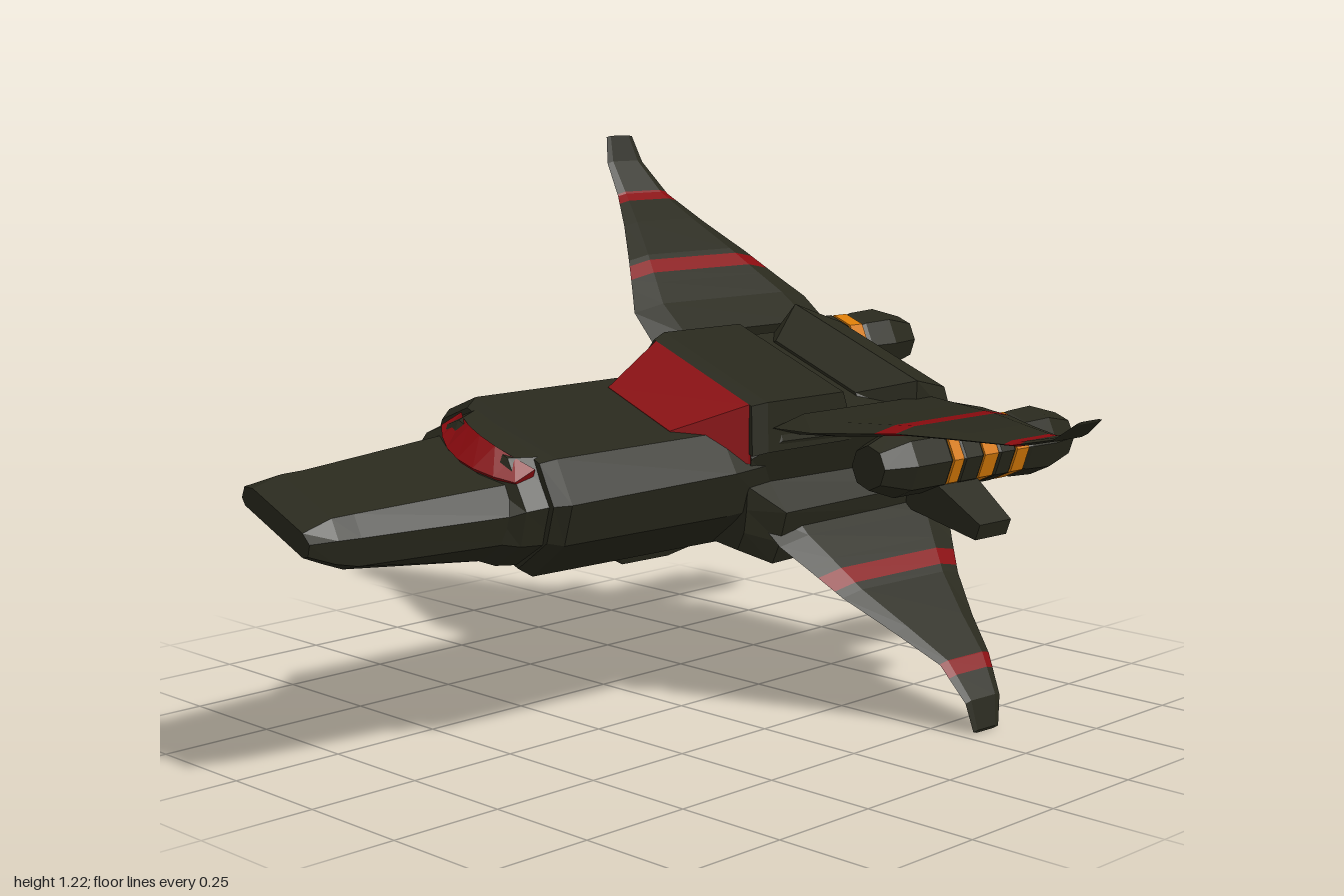
import * as THREE from 'three';

const mat = (name, color) => {
  const m = new THREE.MeshStandardMaterial({ color, flatShading: true });
  m.name = name;
  return m;
};

// Joins a list of equal-length rings of points into a closed, flat-sided solid
function loft(rings, flip = false) {
  const pos = [];
  const tri = (a, b, c) => pos.push(...a, ...(flip ? c : b), ...(flip ? b : c));
  const n = rings[0].length;
  for (let i = 0; i < rings.length - 1; i++) {
    for (let j = 0; j < n; j++) {
      const k = (j + 1) % n;
      const [a, b, c, d] = [rings[i][j], rings[i][k], rings[i + 1][k], rings[i + 1][j]];
      tri(a, b, c);
      tri(a, c, d);
    }
  }
  const first = rings[0], last = rings[rings.length - 1];
  for (let j = 1; j < n - 1; j++) {
    tri(first[0], first[j + 1], first[j]);
    tri(last[0], last[j], last[j + 1]);
  }
  const g = new THREE.BufferGeometry();
  g.setAttribute('position', new THREE.Float32BufferAttribute(pos, 3));
  g.computeVertexNormals();
  return g;
}

// Mirrored hull section: half outline [x, y] from top to bottom at depth z
const ring = (z, half) => [
  ...half.map(([x, y]) => [x, y, z]),
  ...half.slice().reverse().map(([x, y]) => [-x, y, z]),
];

// Wing stations: x, y, leading z, trailing z, thickness
const stations = [
  [0.20, 0.10, -0.08, -0.64, 0.05],
  [0.30, 0.137, -0.09, -0.63, 0.034],
  [0.36, 0.163, -0.125, -0.59, 0.03],
  [0.44, 0.198, -0.17, -0.54, 0.024],
  [0.55, 0.233, -0.235, -0.485, 0.018],
  [0.65, 0.264, -0.288, -0.445, 0.012],
  [0.73, 0.315, -0.305, -0.415, 0.009],
  [0.765, 0.368, -0.315, -0.395, 0.006],
];

// Wing station at any x, blended from its neighbours
function stationAt(x) {
  const i = stations.findIndex((s) => s[0] > x);
  const a = stations[i - 1], b = stations[i];
  return a.map((v, k) => THREE.MathUtils.lerp(v, b[k], (x - a[0]) / (b[0] - a[0])));
}

export function createModel() {
  const hullMat = mat('olive hull', 0x28281c);
  const redMat = mat('red markings', 0x870a0e);
  const orangeMat = mat('orange bands', 0xd87b08);

  const model = new THREE.Group();
  model.name = 'spacecraft';
  const ship = new THREE.Group();
  ship.name = 'bankedShip';
  model.add(ship);
  const add = (name, geo, material, parent = ship) => {
    const m = new THREE.Mesh(geo, material);
    m.name = name;
    parent.add(m);
    return m;
  };
  const hull = (name, sections, material = hullMat) =>
    add(name, loft(sections.map(([z, half]) => ring(z, half))), material);
  const box = (name, w, h, d, x, y, z) =>
    add(name, new THREE.BoxGeometry(w, h, d), hullMat).position.set(x, y, z);

  // Drooping wedge nose
  hull('nose', [
    [1.0, [[0.09, -0.045], [0.118, -0.055], [0.12, -0.08], [0.105, -0.09]]],
    [0.94, [[0.09, -0.022], [0.125, -0.052], [0.13, -0.10], [0.095, -0.12]]],
    [0.89, [[0.09, -0.02], [0.128, -0.052], [0.135, -0.11], [0.09, -0.142]]],
    [0.54, [[0.11, 0.005], [0.16, -0.04], [0.165, -0.10], [0.11, -0.17]]],
    [0.44, [[0.11, 0.01], [0.16, -0.04], [0.165, -0.10], [0.11, -0.17]]],
  ]);
  hull('neck', [
    [0.575, [[0.05, 0.0], [0.15, -0.05], [0.16, -0.10], [0.11, -0.165]]],
    [0.535, [[0.085, 0.05], [0.175, -0.025], [0.182, -0.10], [0.12, -0.178]]],
    [0.44, [[0.12, 0.06], [0.19, -0.01], [0.195, -0.10], [0.13, -0.185]]],
  ]);

  // Crescent visor wrapped over the neck
  const visor = [-1, -0.7, -0.35, 0, 0.35, 0.7, 1].map((t) => {
    const x = 0.128 * t, z = 0.59 - 0.05 * t * t;
    const low = 0.012 + 0.006 * t * t, high = 0.06 - 0.018 * t * t;
    return [[x, high, z - 0.045], [x, low, z], [x, low - 0.04, z - 0.045]];
  });
  add('noseVisor', loft(visor), redMat);

  // Forward fuselage and windscreen
  hull('forwardHull', [
    [0.485, [[0.125, 0.052], [0.195, -0.01], [0.20, -0.09], [0.135, -0.185]]],
    [0.455, [[0.14, 0.066], [0.215, 0.0], [0.22, -0.09], [0.15, -0.20]]],
    [0.01, [[0.14, 0.07], [0.215, 0.01], [0.22, -0.09], [0.15, -0.20]]],
    [-0.12, [[0.14, 0.07], [0.20, 0.01], [0.21, -0.09], [0.15, -0.20]]],
  ]);
  hull('windscreen', [
    [0.125, [[0.105, 0.07], [0.13, 0.0]]],
    [-0.035, [[0.158, 0.14], [0.2, 0.02]]],
    [-0.06, [[0.158, 0.14], [0.2, 0.02]]],
  ], redMat);

  // Rear fuselage, waisted beside the engines
  hull('rearHull', [
    [-0.04, [[0.16, 0.09], [0.20, 0.03], [0.21, -0.03], [0.225, -0.08], [0.235, -0.13], [0.23, -0.175], [0.12, -0.20]]],
    [-0.11, [[0.18, 0.115], [0.21, 0.07], [0.205, -0.03], [0.275, -0.07], [0.28, -0.14], [0.275, -0.195], [0.12, -0.22]]],
    [-0.60, [[0.19, 0.11], [0.215, 0.06], [0.21, -0.03], [0.26, -0.07], [0.27, -0.13], [0.25, -0.19], [0.12, -0.21]]],
    [-0.735, [[0.11, 0.05], [0.13, 0.02], [0.135, -0.03], [0.138, -0.07], [0.14, -0.10], [0.12, -0.13], [0.08, -0.15]]],
  ]);
  hull('dorsalPlate', [
    [-0.035, [[0.165, 0.14], [0.205, 0.04]]],
    [-0.07, [[0.175, 0.15], [0.215, 0.05]]],
    [-0.30, [[0.175, 0.15], [0.215, 0.05]]],
    [-0.34, [[0.15, 0.11], [0.21, 0.05]]],
  ]);
  hull('dorsalRamp', [
    [-0.39, [[0.135, 0.118], [0.17, 0.08]]],
    [-0.50, [[0.205, 0.17], [0.23, 0.09]]],
    [-0.64, [[0.175, 0.125], [0.23, 0.06]]],
    [-0.725, [[0.115, 0.07], [0.13, 0.02]]],
  ]);

  // Stepped belly with cross ribs
  hull('bellyKeel', [
    [0.22, [[0.12, -0.18], [0.11, -0.215]]],
    [0.18, [[0.12, -0.18], [0.12, -0.235]]],
    [0.05, [[0.12, -0.18], [0.12, -0.235]]],
    [-0.08, [[0.12, -0.18], [0.11, -0.215]]],
  ]);
  for (let i = 0; i < 4; i++) box('bellyRib', 0.21, 0.025, 0.03, 0, -0.205, 0.26 + i * 0.05);
  box('rearBellyPlate', 0.22, 0.03, 0.42, 0, -0.215, -0.34);

  // Four cranked wings: side, up or down, inner and outer stripe positions
  const wings = [
    ['upperLeftWing', 1, 1, 0.408, 0.635],
    ['upperRightWing', -1, 1, 0.388, 0.625],
    ['lowerLeftWing', 1, -1, 0.385, 0.648],
    ['lowerRightWing', -1, -1, 0.43, 0.63],
  ];
  for (const [wingName, sx, sy, inner, outer] of wings) {
    const wing = new THREE.Group();
    wing.name = wingName;
    ship.add(wing);
    const panel = (name, from, to, material) => {
      const cuts = [stationAt(from), ...stations.filter((s) => s[0] > from && s[0] < to),
        to < 0.765 ? stationAt(to) : stations[stations.length - 1]];
      const rings = cuts.map(([x, y, f, b, t]) => {
        const c = (f - b) * 0.15, h = t / 2;
        return [[y + h, b + c], [y + h, f - c], [y, f], [y - h, f - c], [y - h, b + c], [y, b]]
          .map(([v, z]) => [sx * x, sy * v, z]);
      });
      add(name, loft(rings, sx * sy < 0), material, wing);
    };
    panel('wingRoot', 0.20, inner, hullMat);
    panel('wingInnerStripe', inner, inner + 0.037, redMat);
    panel('wingMiddle', inner + 0.037, outer, hullMat);
    panel('wingOuterStripe', outer, outer + 0.03, redMat);
    panel('wingTip', outer + 0.03, 0.765, hullMat);
  }

  // Eight-sided engines with coloured bands
  const lathe = (pts) => new THREE.LatheGeometry(
    pts.map(([r, d]) => new THREE.Vector2(r, d)), 8, Math.PI / 8);
  const body = lathe([[0, 0.34], [0.05, 0.34], [0.077, 0.42], [0.077, 0.53], [0.07, 0.54],
    [0.07, 0.57], [0.077, 0.58], [0.077, 0.635], [0.07, 0.645], [0.07, 0.69],
    [0.077, 0.70], [0.077, 0.745], [0.07, 0.755], [0.07, 0.797], [0.077, 0.81],
    [0.081, 0.89], [0.055, 0.985], [0.044, 0.985], [0.05, 0.93], [0, 0.91]]);
  for (const s of [1, -1]) {
    const engine = new THREE.Group();
    engine.name = s > 0 ? 'leftEngine' : 'rightEngine';
    engine.position.set(s * 0.27, 0.005, 0);
    engine.rotation.x = -Math.PI / 2;
    ship.add(engine);
    add('engineBody', body, hullMat, engine);
    for (const [a, b] of [[0.54, 0.572], [0.643, 0.69], [0.755, 0.797]]) {
      add('engineBand', lathe([[0.066, a], [0.076, a], [0.076, b], [0.066, b]]), orangeMat, engine);
    }

    // Short tapered stub fin below each engine
    const fin = [[0.22, 0.0, -0.12, -0.50, -0.66], [0.465, -0.062, -0.10, -0.53, -0.635]]
      .map(([x, t, b, f, r]) => [[t, r], [t, f], [b, f], [b, r]].map(([y, z]) => [s * x, y, z]));
    add('stubFin', loft(fin, s < 0), hullMat);
  }

  // Banked, slightly turned flight attitude
  ship.rotation.set(0, -0.053, -0.349, 'YXZ');
  ship.position.set(-0.02, 0.616, 0);
  return model;
}
